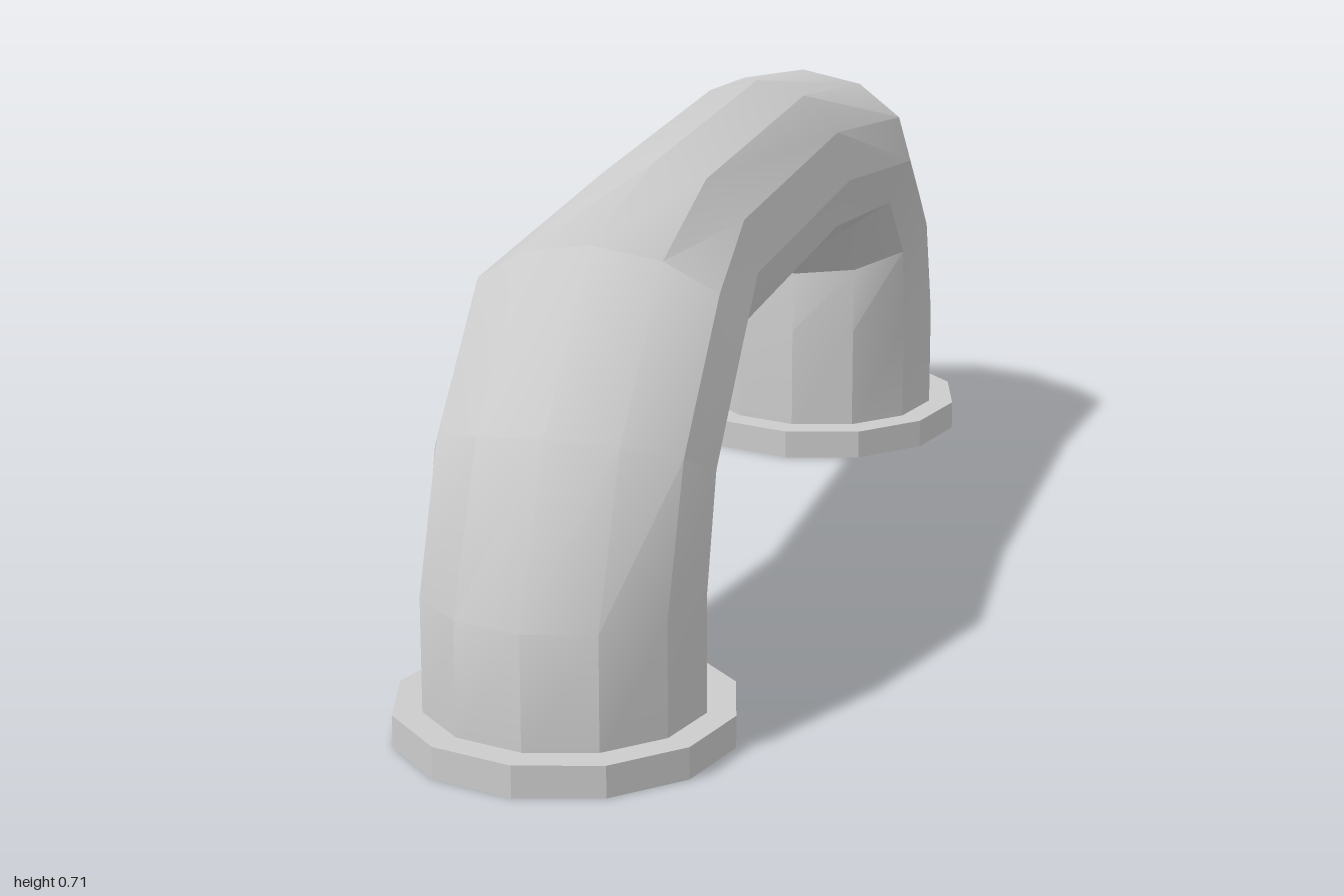
import * as THREE from 'three';
import { toCreasedNormals } from 'three/addons/utils/BufferGeometryUtils.js';

const SIDES = 12;

// Skins a tube over rings: centre (z, y), half width in x, outward half axis (nz, ny)
function loftTube(rings) {
  const positions = [];
  const index = [];
  rings.forEach(({ z, y, rx, nz, ny }, i) => {
    for (let j = 0; j < SIDES; j++) {
      const a = (j / SIDES) * Math.PI * 2;
      const s = Math.sin(a);
      positions.push(Math.cos(a) * rx, y + s * ny, z + s * nz);
      if (i === rings.length - 1) continue;
      const k = (j + 1) % SIDES;
      const p = i * SIDES + j, q = i * SIDES + k;
      index.push(p, p + SIDES, q, q, p + SIDES, q + SIDES);
    }
  });
  const geometry = new THREE.BufferGeometry();
  geometry.setAttribute('position', new THREE.Float32BufferAttribute(positions, 3));
  geometry.setIndex(index);
  return toCreasedNormals(geometry, 0.5);
}

export function createModel() {
  const model = new THREE.Group();
  model.name = 'pullHandle';
  const material = new THREE.MeshStandardMaterial({ color: 0xcccccc });
  const flatMaterial = new THREE.MeshStandardMaterial({ color: 0xcccccc, flatShading: true });

  // Grip: vertical leg, bend, then the slimmer straight bar
  const half = [
    { z: 0.755, y: 0.03, rx: 0.203, nz: 0.2, ny: 0 },
    { z: 0.755, y: 0.215, rx: 0.203, nz: 0.2, ny: 0 },
    { z: 0.705, y: 0.383, rx: 0.203, nz: 0.135, ny: 0.068 },
    { z: 0.555, y: 0.531, rx: 0.203, nz: 0.065, ny: 0.133 },
    { z: 0.3, y: 0.553, rx: 0.157, nz: 0, ny: 0.157 },
  ];
  const mirrored = half.map((r) => ({ ...r, z: -r.z, nz: -r.nz })).reverse();
  const grip = new THREE.Mesh(loftTube([...half, ...mirrored]), material);
  grip.name = 'grip';
  model.add(grip);

  // Mounting flange under each leg
  for (const [name, side] of [['frontFlange', 1], ['backFlange', -1]]) {
    const flange = new THREE.Mesh(new THREE.CylinderGeometry(0.245, 0.245, 0.047, SIDES), flatMaterial);
    flange.name = name;
    flange.position.set(0, 0.0235, side * 0.755);
    model.add(flange);
  }
  return model;
}
